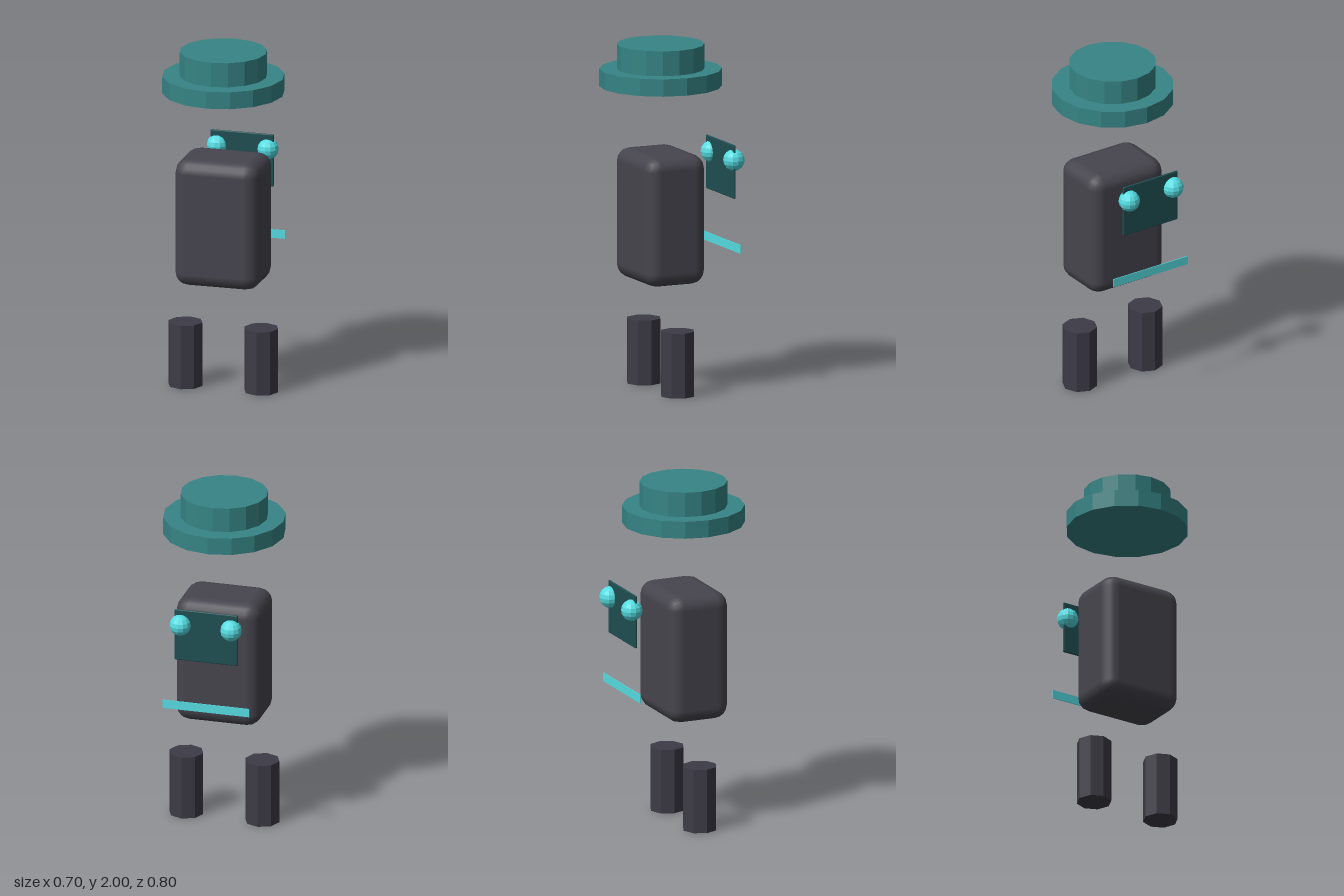
import * as THREE from 'three';
import { RoundedBoxGeometry } from 'three/addons/geometries/RoundedBoxGeometry.js';

const material = (color, flatShading = true) => new THREE.MeshStandardMaterial({ color, flatShading });

export function createModel() {
  const group = new THREE.Group();
  const teal = material(0x368485);
  const darkTeal = material(0x1f4f52, false);
  const glow = material(0x55dde2);
  const charcoal = material(0x46454e, false);
  const legGrey = material(0x3d3b46);

  const add = (name, geometry, mat, x, y, z) => {
    const mesh = new THREE.Mesh(geometry, mat);
    mesh.name = name;
    mesh.position.set(x, y, z);
    group.add(mesh);
    return mesh;
  };

  // Two-step hat floating above the body
  add('hatBrim', new THREE.CylinderGeometry(0.35, 0.35, 0.1, 16), teal, 0, 1.807, 0.05);
  add('hatCrown', new THREE.CylinderGeometry(0.25, 0.25, 0.143, 16), teal, 0, 1.9285, 0.05);

  // Rounded torso
  add('body', new RoundedBoxGeometry(0.5, 0.75, 0.37, 2, 0.08), charcoal, 0, 1.005, 0.052);

  // Visor plate and mouth strip behind the body
  add('visor', new RoundedBoxGeometry(0.374, 0.31, 0.013, 2, 0.006), darkTeal, 0, 1.256, -0.329);
  add('mouth', new THREE.BoxGeometry(0.512, 0.05, 0.005), glow, 0, 0.82, -0.334);

  // Mirrored eyes and legs
  for (const [side, s] of [['left', 1], ['right', -1]]) {
    add(side + 'Eye', new THREE.SphereGeometry(0.062, 12, 8), glow, s * 0.15, 1.32, -0.34);
    add(side + 'Leg', new THREE.CylinderGeometry(0.1, 0.1, 0.375, 8), legGrey, s * 0.225, 0.1875, 0.05);
  }

  return group;
}
